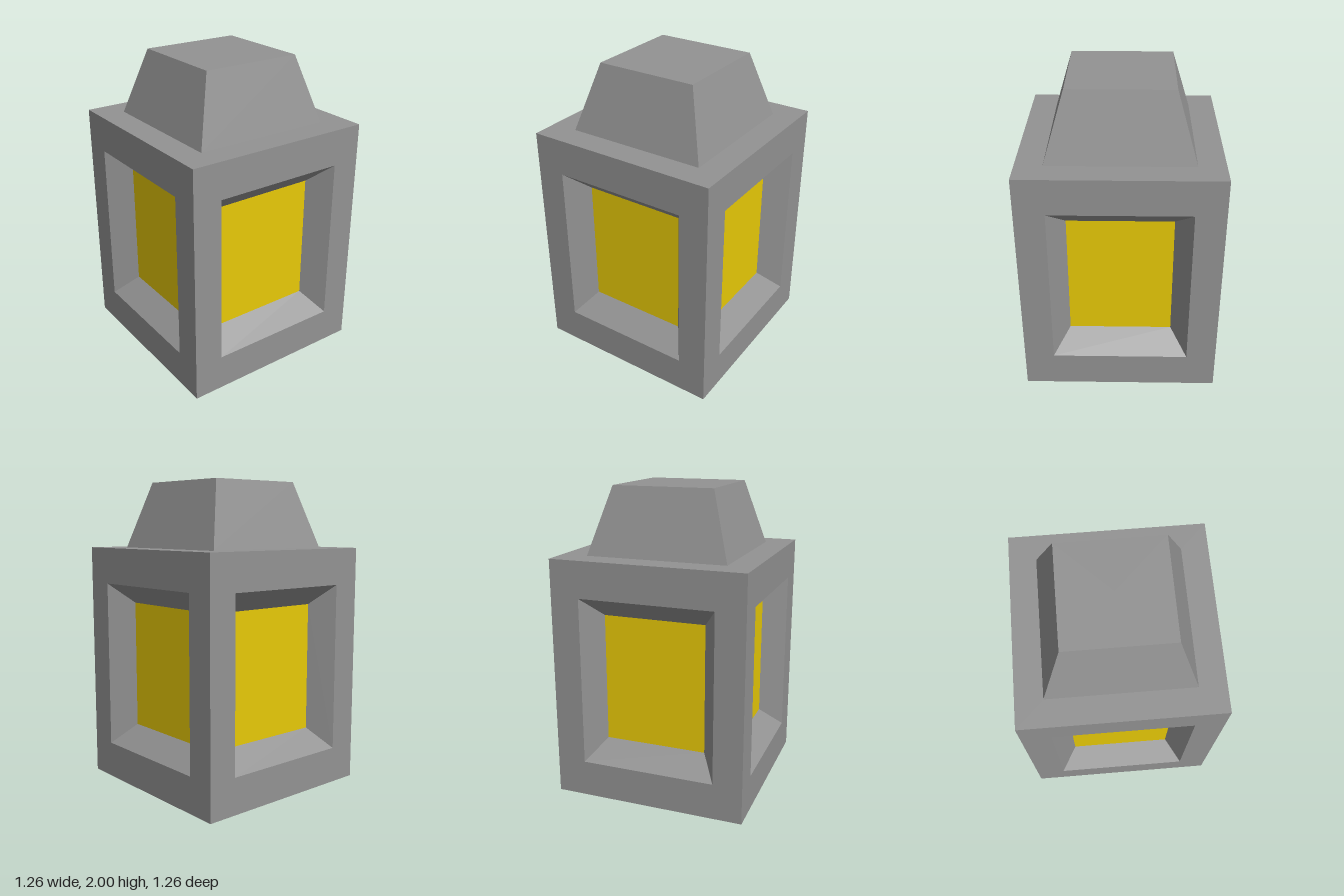
import * as THREE from 'three';

const HALF = 0.63, BODY_H = 1.571, PANE_Z = 0.48;
const OUTER = { w: 0.44, y0: 0.236, y1: 1.335 };
const INNER = { w: 0.335, y0: 0.365, y1: 1.205 };

const grey = new THREE.MeshStandardMaterial({ color: 0x929292, flatShading: true });
const yellow = new THREE.MeshStandardMaterial({ color: 0xe7c907, flatShading: true });

function add(parent, name, geometry, material) {
  const mesh = new THREE.Mesh(geometry, material);
  mesh.name = name;
  parent.add(mesh);
  return mesh;
}

// Corners of an upright rectangle, counter-clockwise from the lower left
const corners = ({ w, y0, y1 }) => [[-w, y0], [w, y0], [w, y1], [-w, y1]];
const toPoints = (rect) => corners(rect).map(([x, y]) => new THREE.Vector2(x, y));

// Sloping band joining the wall opening to the smaller, sunken pane
function revealGeometry() {
  const a = corners(OUTER), b = corners(INNER);
  const positions = [];
  for (let i = 0; i < 4; i++) {
    const j = (i + 1) % 4;
    const a0 = [...a[i], HALF], a1 = [...a[j], HALF];
    const b0 = [...b[i], PANE_Z], b1 = [...b[j], PANE_Z];
    positions.push(...a0, ...a1, ...b1, ...a0, ...b1, ...b0);
  }
  const geometry = new THREE.BufferGeometry();
  geometry.setAttribute('position', new THREE.Float32BufferAttribute(positions, 3));
  geometry.computeVertexNormals();
  return geometry;
}

export function createModel() {
  const model = new THREE.Group();
  model.name = 'lantern';

  // Four identical sides: wall with opening, sloping reveal, glowing pane
  const wallShape = new THREE.Shape(toPoints({ w: HALF, y0: 0, y1: BODY_H }));
  wallShape.holes.push(new THREE.Path(toPoints(OUTER).reverse()));
  const wall = new THREE.ShapeGeometry(wallShape).translate(0, 0, HALF);
  const reveal = revealGeometry();
  const pane = new THREE.ShapeGeometry(new THREE.Shape(toPoints(INNER))).translate(0, 0, PANE_Z);

  ['front', 'left', 'back', 'right'].forEach((name, i) => {
    const side = new THREE.Group();
    side.name = name + 'Side';
    side.rotation.y = i * Math.PI / 2;
    add(side, 'wall', wall, grey);
    add(side, 'windowReveal', reveal, grey);
    add(side, 'windowPane', pane, yellow);
    model.add(side);
  });

  // Floor and roof of the body
  const slab = new THREE.PlaneGeometry(HALF * 2, HALF * 2);
  add(model, 'floor', slab, grey).rotation.x = Math.PI / 2;
  const roof = add(model, 'roof', slab, grey);
  roof.rotation.x = -Math.PI / 2;
  roof.position.y = BODY_H;

  // Tapered square cap
  const capH = 2 - BODY_H;
  const capGeometry = new THREE.CylinderGeometry(0.33 * Math.SQRT2, 0.458 * Math.SQRT2, capH, 4);
  capGeometry.rotateY(Math.PI / 4);
  add(model, 'cap', capGeometry, grey).position.y = BODY_H + capH / 2;

  return model;
}
